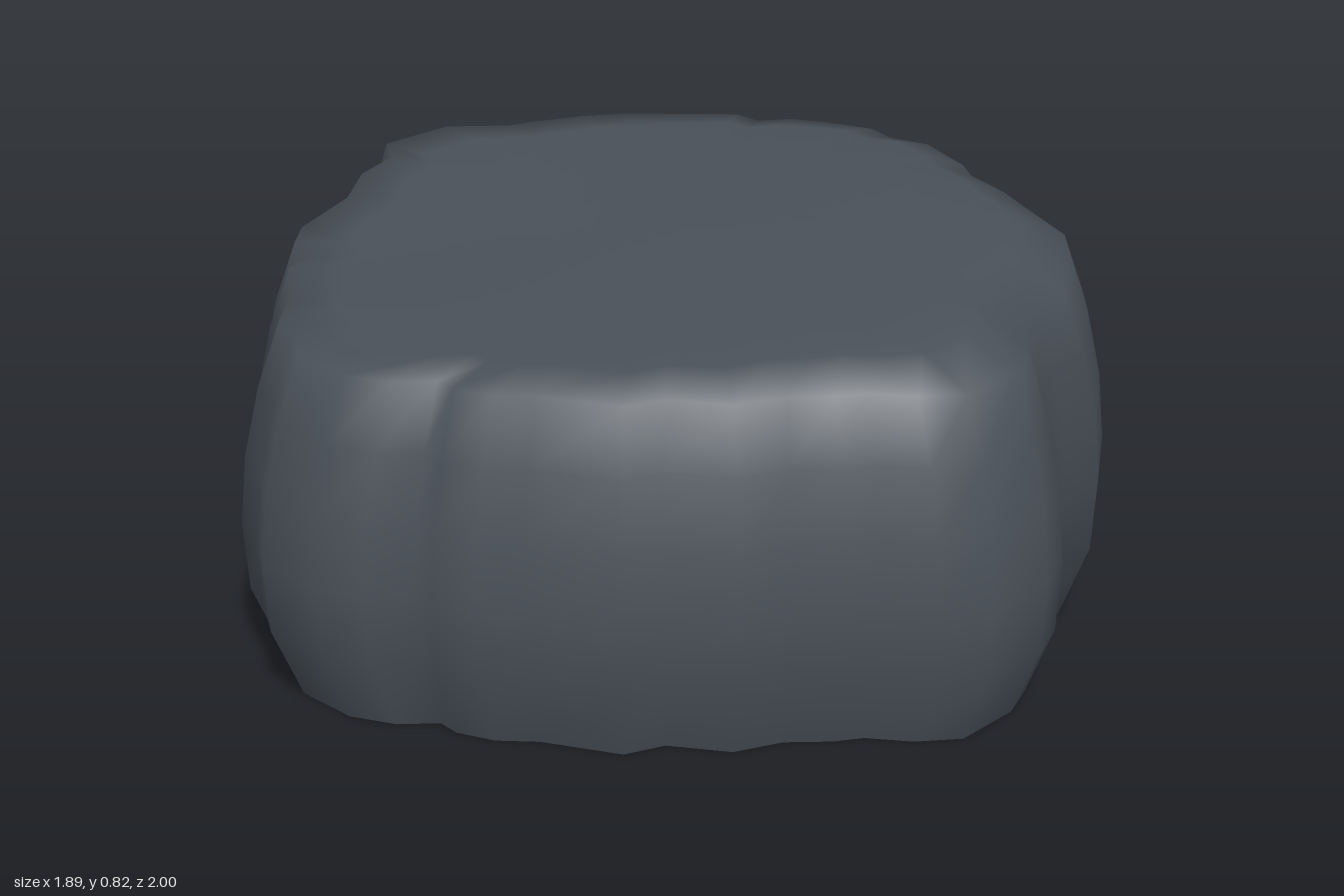
import * as THREE from 'three';
import { mergeVertices } from 'three/addons/utils/BufferGeometryUtils.js';

// Widest outline of the boulder as x, z pairs, clockwise from the back
const OUTLINE = [
  0.09, -1, 0.15, -0.95, 0.24, -0.97, 0.33, -0.95, 0.46, -0.9, 0.51, -0.83, 0.61, -0.78,
  0.7, -0.62, 0.72, -0.54, 0.8, -0.42, 0.85, -0.31, 0.94, -0.12, 0.945, 0, 0.92, 0.26,
  0.85, 0.34, 0.81, 0.57, 0.825, 0.65, 0.79, 0.75, 0.68, 0.88, 0.57, 0.9, 0.46, 0.89,
  0.39, 0.91, 0.28, 0.92, 0.17, 0.97, 0.02, 0.95, -0.07, 0.995, -0.26, 0.95, -0.36, 0.95,
  -0.45, 0.92, -0.49, 0.88, -0.59, 0.89, -0.7, 0.86, -0.82, 0.76, -0.85, 0.66, -0.9, 0.56,
  -0.9, 0.43, -0.935, 0.21, -0.91, 0.15, -0.95, 0.05, -0.95, -0.06, -0.87, -0.28,
  -0.86, -0.46, -0.8, -0.6, -0.83, -0.7, -0.69, -0.85, -0.52, -0.87, -0.45, -0.91,
  -0.33, -0.96, -0.21, -0.99, -0.04, -0.995,
];
const COUNT = OUTLINE.length / 2;
const RIM = 0.765;

// Gently tilted, uneven top that fades to the flat rim
function topHeight(x, z, scale) {
  const fade = Math.min(1, (0.9 - scale) / 0.13);
  const tilt = Math.min(0.052, Math.max(0.004, 0.031 + 0.045 * x));
  const bumps = 0.004 * Math.sin(5 * x + 1) * Math.cos(6 * z);
  return RIM + fade * (tilt * (1 - 0.55 * z * z) + bumps);
}

// Skin a stack of scaled outlines; each ring is [scale, height], or no height on the top
function skin(rings) {
  const positions = [], index = [];
  for (const [scale, height] of rings) {
    for (let j = 0; j < COUNT; j++) {
      const x = OUTLINE[2 * j] * scale, z = OUTLINE[2 * j + 1] * scale;
      positions.push(x, height ?? topHeight(x, z, scale), z);
    }
  }
  for (let i = 0; i < rings.length - 1; i++) {
    for (let j = 0; j < COUNT; j++) {
      const a = i * COUNT + j, b = i * COUNT + (j + 1) % COUNT;
      if (rings[i][0] > 0) index.push(a, a + COUNT, b);
      if (rings[i + 1][0] > 0) index.push(b, a + COUNT, b + COUNT);
    }
  }
  const geometry = new THREE.BufferGeometry();
  geometry.setAttribute('position', new THREE.Float32BufferAttribute(positions, 3));
  geometry.setIndex(index);
  const merged = mergeVertices(geometry);
  merged.computeVertexNormals();
  return merged;
}

export function createModel() {
  const group = new THREE.Group();
  group.name = 'boulder';
  const stone = new THREE.MeshStandardMaterial({ color: 0x4a5159 });
  const add = (name, rings) => {
    const mesh = new THREE.Mesh(skin(rings), stone);
    mesh.name = name;
    group.add(mesh);
  };

  // Bulging sides flowing smoothly into the top
  add('sidesAndTop', [
    [0.925, 0], [0.99, 0.17], [1, 0.33], [0.985, 0.48], [0.95, 0.63], [0.9, RIM],
    [0.77], [0.6], [0.4], [0.2], [0],
  ]);

  // Flat underside with a sharp edge
  add('underside', [[0, 0], [0.925, 0]]);
  return group;
}
